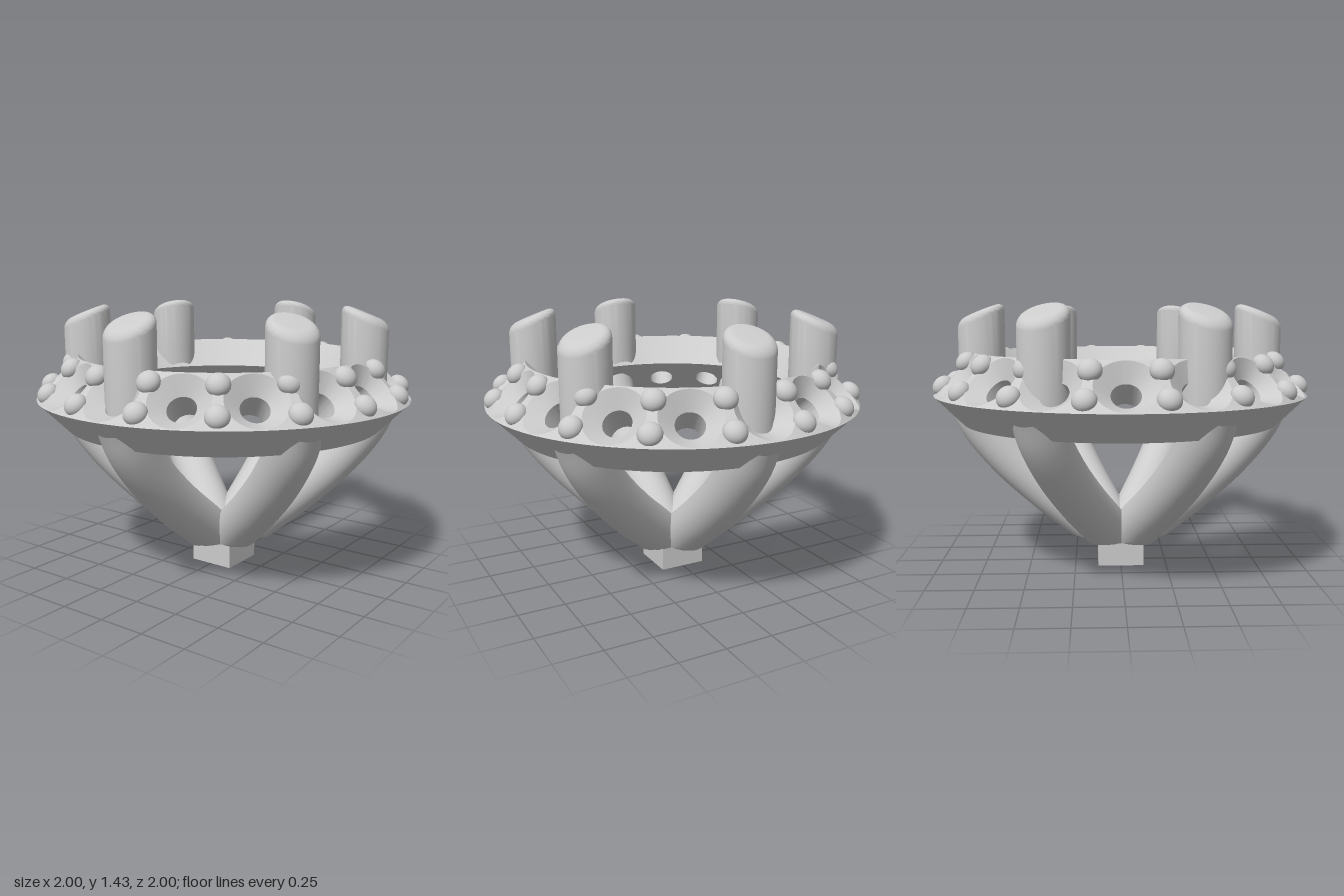
import * as THREE from 'three';
import { mergeGeometries, toCreasedNormals } from 'three/addons/utils/BufferGeometryUtils.js';

const material = new THREE.MeshStandardMaterial({ color: 0xcccccc });
const openMaterial = new THREE.MeshStandardMaterial({ color: 0xcccccc, side: THREE.DoubleSide });
const K = Math.SQRT1_2;
const SEATS = 16, ARMS = 6;
const THICK = 0.15 / K, HALF = 0.11 / K; // slanted band: depth and half width

function add(group, name, geometry, mat = material) {
  const mesh = new THREE.Mesh(geometry, mat);
  mesh.name = name;
  group.add(mesh);
  return mesh;
}

// Radius and height on the 45 degree band: s runs outward-down, d goes into it
const bandPoint = (s, d) => [0.89 + (s - d) * K, 1.06 - (s + d) * K];

// One band sector: top face, countersunk seat, drilled hole, under face
function seatSector() {
  const N = 48;
  const rows = [[0, 0], [0.15, 0], [0.07, 0.07], [0.07, THICK], [0, THICK]]; // hole radius (0 = sector edge), depth
  const pos = [], index = [];
  rows.forEach(([radius, depth], i) => {
    for (let j = 0; j <= N; j++) {
      const p = (j / N) * Math.PI * 2;
      let c = Math.cos(p), s = Math.sin(p);
      if (!radius) {
        const m = Math.max(Math.abs(c), Math.abs(s));
        c /= m;
        s /= m;
      }
      const [r, y] = bandPoint(s * (radius || HALF), depth);
      const a = radius ? (c * radius) / r : (c * Math.PI) / SEATS;
      pos.push(r * Math.sin(a), y, r * Math.cos(a));
      if (i < rows.length - 1 && j < N) {
        const q = i * (N + 1) + j, below = q + N + 1;
        index.push(q, below, q + 1, q + 1, below, below + 1);
      }
    }
  });
  const g = new THREE.BufferGeometry();
  g.setAttribute('position', new THREE.Float32BufferAttribute(pos, 3));
  g.setIndex(index);
  return g;
}

// Upright post with rounded rim, top sloping down outward (+x), foot cut to the band
function prongGeometry() {
  const pts = [new THREE.Vector2(0.125, 0), new THREE.Vector2(0.125, 0.4)];
  for (let i = 0; i <= 8; i++) {
    const a = (i / 8) * Math.PI / 2;
    pts.push(new THREE.Vector2(0.08 + 0.045 * Math.cos(a), 1.345 + 0.045 * Math.sin(a)));
  }
  pts.push(new THREE.Vector2(0, 1.39));
  const g = new THREE.LatheGeometry(pts, 48);
  const p = g.attributes.position;
  for (let i = 0; i < p.count; i++) {
    const x = p.getX(i), y = p.getY(i);
    p.setY(i, y > 1 ? y - 0.4 * x : 0.92 - x + y * 0.2);
  }
  return toCreasedNormals(g, 0.6);
}

// Curved round arm, levelled off where it rests on the base
function armGeometry() {
  const path = new THREE.CatmullRomCurve3(
    [[-0.02, 0.07], [0.19, 0.245], [0.4, 0.41], [0.605, 0.6], [0.75, 0.78], [0.822, 0.925]]
      .map(([x, y]) => new THREE.Vector3(x, y, 0)));
  const g = new THREE.TubeGeometry(path, 48, 0.125, 36);
  const p = g.attributes.position;
  for (let i = 0; i < p.count; i++) p.setY(i, Math.max(0.15, p.getY(i)));
  return toCreasedNormals(g, 0.5);
}

export function createModel() {
  const model = new THREE.Group();
  model.name = 'stoneSetting';

  // Band with drilled stone seats
  const sectors = [];
  for (let i = 0; i < SEATS; i++) {
    sectors.push(seatSector().rotateY((i / SEATS) * Math.PI * 2));
  }
  add(model, 'seatBand', toCreasedNormals(mergeGeometries(sectors), 0.5));

  // Plain bevelled edges that close the band
  const bevel = (name, ...pts) =>
    add(model, name, new THREE.LatheGeometry(pts.map(([x, y]) => new THREE.Vector2(x, y)), 192));
  bevel('outerBevel', [0.85, 0.8], [1, 0.95]);
  bevel('innerBevel', [0.78, 1.17], [0.63, 1.02]);

  // Pairs of beads between the seats
  const beads = new THREE.Group();
  beads.name = 'beads';
  model.add(beads);
  const bead = new THREE.SphereGeometry(0.058, 24, 16).scale(1, 0.85, 1).rotateX(Math.PI / 4);
  for (let i = 0; i < SEATS; i++) {
    const a = ((i + 0.5) / SEATS) * Math.PI * 2;
    for (const s of [0.083, -0.09]) {
      const [r, y] = bandPoint(s, 0);
      const mesh = add(beads, 'bead', bead);
      mesh.position.set(r * Math.sin(a), y, r * Math.cos(a));
      mesh.rotation.y = a;
    }
  }

  // Six arms, each topped by a prong
  const prong = prongGeometry(), arm = armGeometry();
  for (let i = 0; i < ARMS; i++) {
    const support = new THREE.Group();
    support.name = 'support';
    support.rotation.y = (i / ARMS) * Math.PI * 2;
    add(support, 'arm', arm, openMaterial);
    add(support, 'prong', prong).position.x = 0.75;
    model.add(support);
  }

  // Square foot
  add(model, 'foot', new THREE.BoxGeometry(0.25, 0.18, 0.25)).position.y = 0.09;
  return model;
}
